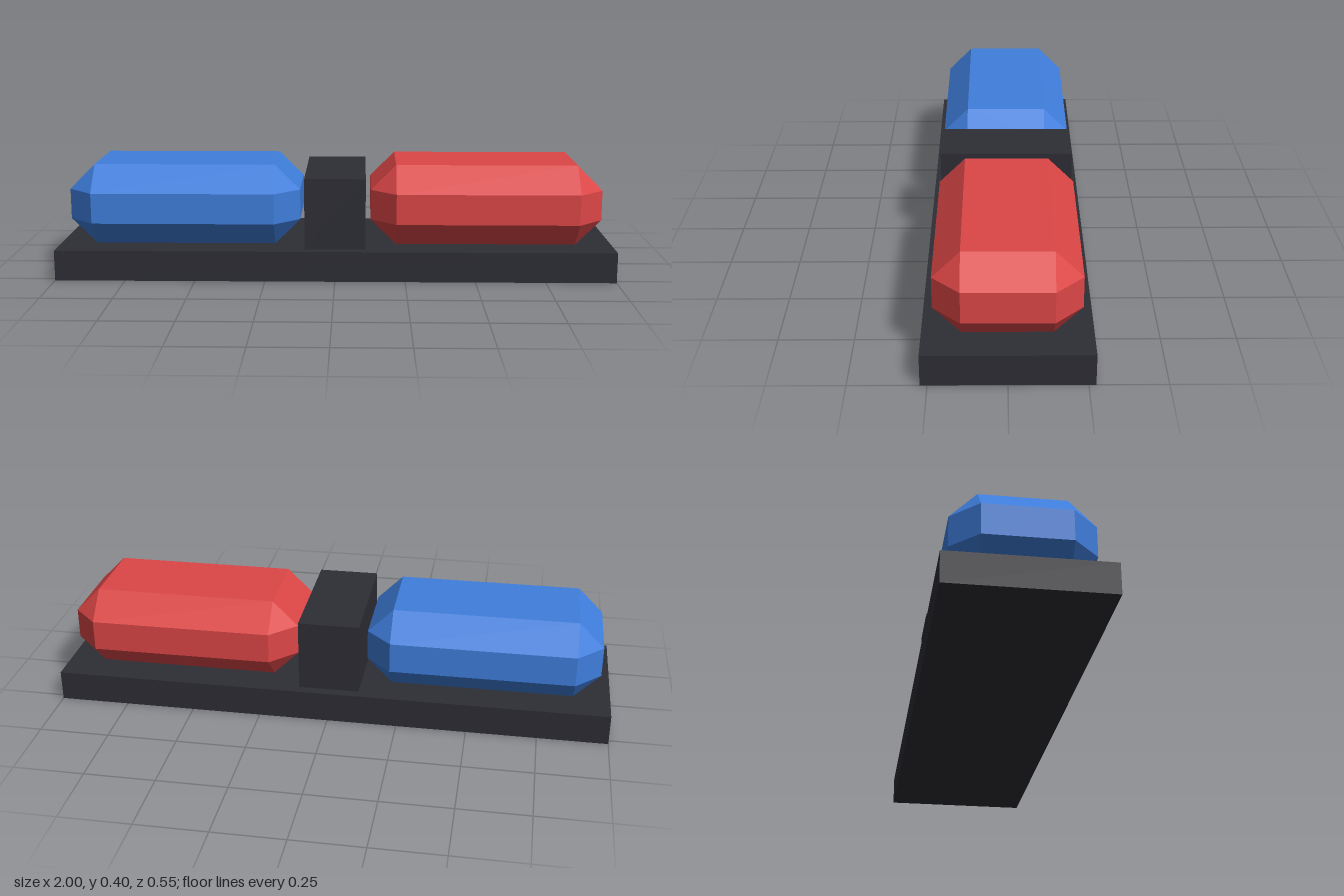
import * as THREE from 'three';
import { ConvexGeometry } from 'three/addons/geometries/ConvexGeometry.js';

// Box with chamfered edges and triangular corner facets
function chamferedBox(w, h, d, c) {
  const points = [];
  for (const sx of [-1, 1]) for (const sy of [-1, 1]) for (const sz of [-1, 1]) {
    for (let axis = 0; axis < 3; axis++) {
      const inset = [c, c, c];
      inset[axis] = 0;
      points.push(new THREE.Vector3(
        sx * (w / 2 - inset[0]), sy * (h / 2 - inset[1]), sz * (d / 2 - inset[2])));
    }
  }
  return new ConvexGeometry(points);
}

function material(name, color) {
  const m = new THREE.MeshStandardMaterial({ color });
  m.name = name;
  return m;
}

export function createModel() {
  const model = new THREE.Group();
  model.name = 'lightBar';
  const dark = material('dark housing', 0x2d2d35);
  const red = material('red lens', 0xdc4646);
  const blue = material('blue lens', 0x3f7edc);

  const add = (name, geometry, mat, x, y) => {
    const mesh = new THREE.Mesh(geometry, mat);
    mesh.name = name;
    mesh.position.set(x, y, 0);
    model.add(mesh);
  };

  // Mounting base and central block
  add('base', new THREE.BoxGeometry(2, 0.109, 0.546), dark, 0, 0.0545);
  add('centreBlock', new THREE.BoxGeometry(0.218, 0.256, 0.473), dark, 0, 0.237);

  // Two matching lenses
  const lens = chamferedBox(0.833, 0.291, 0.473, 0.091);
  add('leftLens', lens, red, 0.544, 0.2545);
  add('rightLens', lens, blue, -0.544, 0.2545);

  return model;
}
